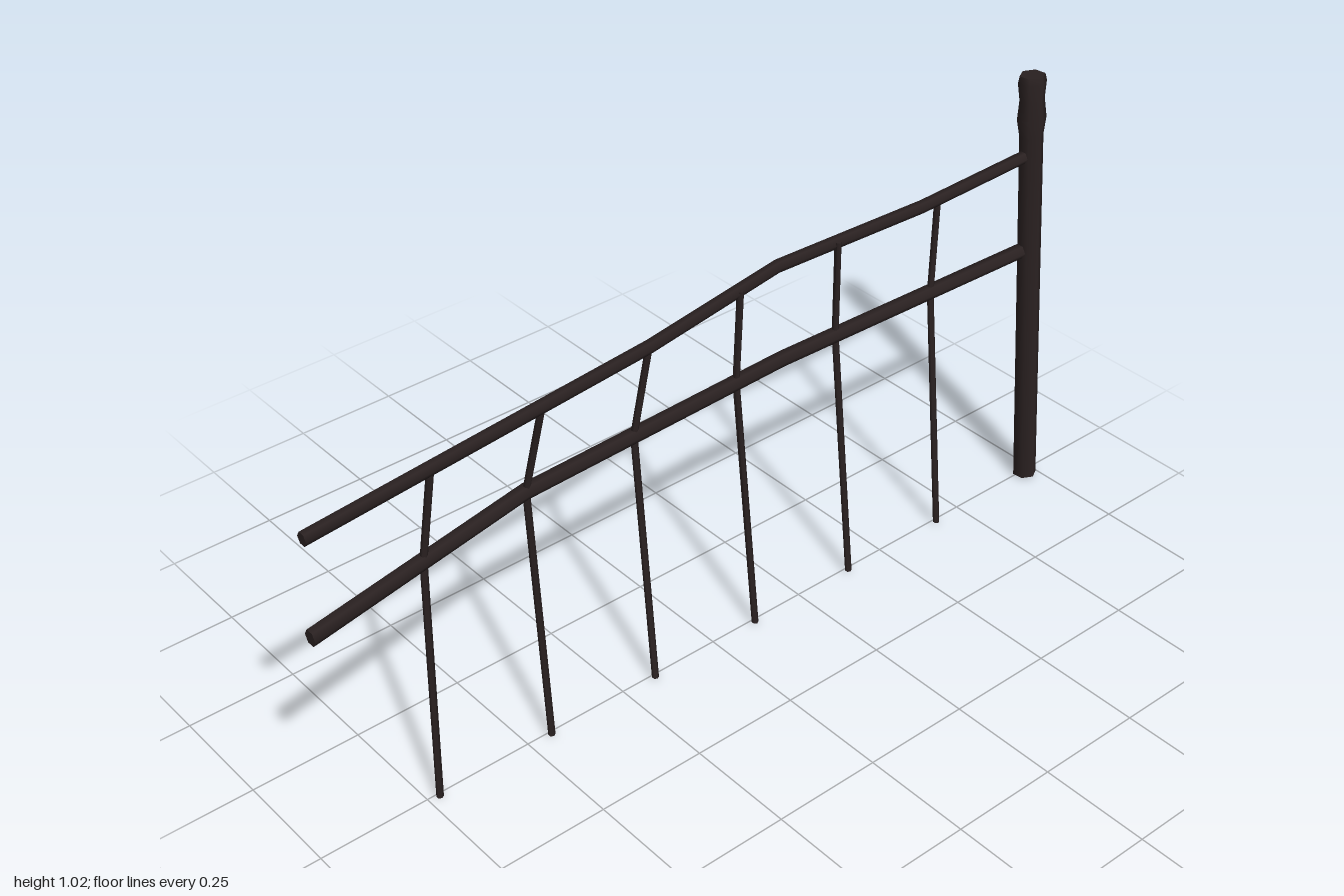
import * as THREE from 'three';
import { toCreasedNormals } from 'three/addons/utils/BufferGeometryUtils.js';

const SIDES = 6;
const CREASE = 1.2; // smooth around the hexagon, sharp at the ends
const iron = new THREE.MeshStandardMaterial({ color: 0x2a2121 });
const vec = (x, y, z) => new THREE.Vector3(x, y, z);

function part(name, geometry) {
  const mesh = new THREE.Mesh(toCreasedNormals(geometry, CREASE), iron);
  mesh.name = name;
  return mesh;
}

// Hexagonal bar through a few points; its rings lie in the u-v plane
function bar(name, points, radius, u, v, turn) {
  const pos = [], idx = [];
  for (const p of points) {
    for (let i = 0; i < SIDES; i++) {
      const a = turn + (i / SIDES) * Math.PI * 2;
      const q = p.clone().addScaledVector(u, Math.cos(a) * radius).addScaledVector(v, Math.sin(a) * radius);
      pos.push(q.x, q.y, q.z);
    }
  }
  const last = (points.length - 1) * SIDES;
  for (let k = 0; k < last; k += SIDES) {
    for (let i = 0; i < SIDES; i++) {
      const j = (i + 1) % SIDES;
      idx.push(k + i, k + j, k + SIDES + j, k + i, k + SIDES + j, k + SIDES + i);
    }
  }
  // end caps
  for (let i = 1; i < SIDES - 1; i++) {
    idx.push(0, i + 1, i, last, last + i, last + i + 1);
  }
  const geo = new THREE.BufferGeometry();
  geo.setAttribute('position', new THREE.Float32BufferAttribute(pos, 3));
  geo.setIndex(idx);
  return part(name, geo);
}

// Point on a rail at a given x
function railAt(path, x) {
  let i = 0;
  while (i < path.length - 2 && path[i + 1].x < x) i++;
  return path[i].clone().lerp(path[i + 1], (x - path[i].x) / (path[i + 1].x - path[i].x));
}

export function createModel() {
  const group = new THREE.Group();
  group.name = 'bentFence';
  const X = vec(1, 0, 0), Y = vec(0, 1, 0), Z = vec(0, 0, 1);

  // Bent rails
  const top = [
    vec(-1, 0.833, 0.09), vec(-0.17, 0.836, 0.01), vec(0.24, 0.816, -0.079),
    vec(0.62, 0.831, -0.044), vec(0.969, 0.827, -0.062),
  ];
  const low = [
    vec(-1, 0.603, 0.074), vec(-0.45, 0.603, -0.03), vec(0.24, 0.6, -0.06), vec(0.969, 0.596, -0.046),
  ];
  group.add(bar('topRail', top, 0.0142, Y, Z, Math.PI / 6));
  group.add(bar('lowerRail', low, 0.0172, Y, Z, Math.PI / 6));

  // Balusters, kinked at the lower rail: x at foot, lower rail and top rail, then how far the head stands forward
  const balusters = [
    [-0.727, -0.721, -0.715, 0], [-0.447, -0.447, -0.447, 0], [-0.171, -0.171, -0.17, 0],
    [0.111, 0.109, 0.106, 0.01], [0.391, 0.39, 0.387, 0.01], [0.67, 0.669, 0.668, 0],
  ];
  for (const [foot, mid, head, forward] of balusters) {
    const tip = railAt(top, head).add(vec(0, forward * 0.6, forward));
    group.add(bar('baluster', [vec(foot, 0.004, 0.012), railAt(low, mid), tip], 0.0076, Z, X, 0));
  }

  // Leaning end post with a swollen collar and knob
  const profile = [
    [0, 0], [0.0275, 0], [0.0275, 0.875], [0.0335, 0.915], [0.0285, 0.96],
    [0.0325, 1], [0.029, 1.016], [0, 1.016],
  ].map(([r, y]) => new THREE.Vector2(r, y));
  const post = part('endPost', new THREE.LatheGeometry(profile, SIDES));
  post.position.set(0.97, 0.002, 0.0095);
  post.rotation.x = -0.0825;
  group.add(post);

  return group;
}
